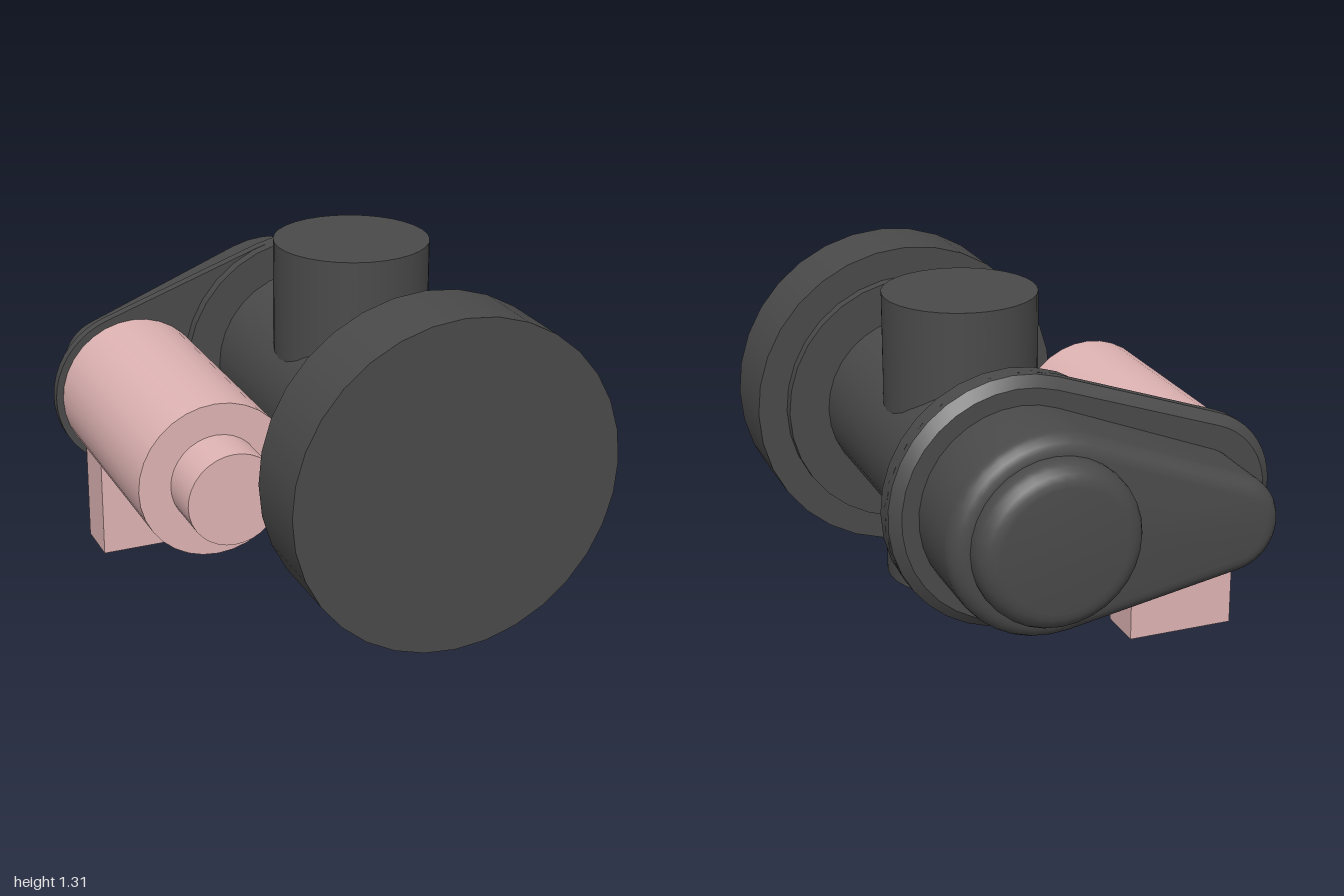
import * as THREE from 'three';
import { toCreasedNormals } from 'three/addons/utils/BufferGeometryUtils.js';

const dark = new THREE.MeshStandardMaterial({ color: 0x4a4a4a });
const pink = new THREE.MeshStandardMaterial({ color: 0xe0b4b4 });
const MAIN = [0.195, 0.67]; // axis of the main body (x, y)
const MOTOR = [-0.51, 0.6]; // axis of the motor (x, y)
const SEG = 32;

function addMesh(group, name, geometry, material) {
  const mesh = new THREE.Mesh(geometry, material);
  mesh.name = name;
  group.add(mesh);
  return mesh;
}

// Cylinder lying along z between z0 and z1
function zCylinder(group, name, [x, y], r, z0, z1, material) {
  const g = new THREE.CylinderGeometry(r, r, z1 - z0, SEG).rotateX(Math.PI / 2);
  addMesh(group, name, g, material).position.set(x, y, (z0 + z1) / 2);
}

// Outline around a large circle (main axis) and a small one (motor axis)
function outline(R, r, inset) {
  const dx = MOTOR[0] - MAIN[0], dy = MOTOR[1] - MAIN[1];
  const phi = Math.atan2(dy, dx);
  const a = Math.acos((R - r) / Math.hypot(dx, dy));
  const pts = [];
  const arc = ([x, y], rad, from, to) => {
    for (let i = 0; i <= 20; i++) {
      const t = from + (to - from) * i / 20;
      pts.push([x + rad * Math.cos(t), y + rad * Math.sin(t)]);
    }
  };
  arc(MAIN, R - inset, phi + a, phi - a + 2 * Math.PI);
  arc(MOTOR, r - inset, phi - a, phi + a);
  return pts;
}

// Skin the outline through [inset, z] steps running from front to back
function housing(R, r, steps) {
  const rings = steps.map(([inset, z]) => outline(R, r, inset).map(([x, y]) => [x, y, z]));
  const n = rings[0].length, pos = [];
  const tri = (...c) => c.forEach(p => pos.push(...p));
  const first = rings[0], last = rings[rings.length - 1];
  for (let j = 0; j < n; j++) {
    const k = (j + 1) % n;
    for (let i = 0; i < rings.length - 1; i++) {
      const a = rings[i], b = rings[i + 1];
      tri(a[j], b[j], a[k]);
      tri(a[k], b[j], b[k]);
    }
    tri([...MAIN, first[0][2]], first[j], first[k]);
    tri([...MAIN, last[0][2]], last[k], last[j]);
  }
  const g = new THREE.BufferGeometry();
  g.setAttribute('position', new THREE.Float32BufferAttribute(pos, 3));
  return toCreasedNormals(g, 0.6);
}

// Quarter-round edge as [inset, distance] steps ending at depth "end"
function roundEdge(radius, end) {
  return Array.from({ length: 6 }, (_, i) => {
    const t = i / 5 * Math.PI / 2;
    return [radius * (1 - Math.cos(t)), end - radius * (1 - Math.sin(t))];
  });
}

export function createModel() {
  const group = new THREE.Group();
  group.name = 'drivenValve';

  // Main body with the big front disc
  zCylinder(group, 'frontDisc', MAIN, 0.637, 0.69, 1, dark);
  zCylinder(group, 'frontDiscStep', MAIN, 0.519, 0.645, 0.7, dark);
  zCylinder(group, 'bodyTube', MAIN, 0.355, -0.5, 0.66, dark);

  // Vertical cross pipe
  addMesh(group, 'crossPipe', new THREE.CylinderGeometry(0.297, 0.297, 1.135, SEG), dark)
    .position.set(MAIN[0], 0.7425, 0.048);

  // Gear housing: round collar, chamfered flange, rounded cover
  zCylinder(group, 'flangeCollar', MAIN, 0.49, -0.51, -0.45, dark);
  addMesh(group, 'flange', housing(0.49, 0.325, [[0, -0.495], [0, -0.535], [0.04, -0.57]]), dark);
  const coverEdge = roundEdge(0.07, 0.9).map(([inset, d]) => [inset, -d]);
  addMesh(group, 'gearCover', housing(0.386, 0.192, [[0, -0.55], ...coverEdge]), dark);

  // Rounded end cap on the back of the cover
  const cap = [[0, 0.88], [0.315, 0.88], ...roundEdge(0.08, 1).map(([i, d]) => [0.315 - i, d]), [0, 1]]
    .map(([r, d]) => new THREE.Vector2(r, d));
  const capGeometry = toCreasedNormals(new THREE.LatheGeometry(cap, SEG), 0.6).rotateX(-Math.PI / 2);
  addMesh(group, 'endCap', capGeometry, dark).position.set(MAIN[0], MAIN[1], 0);

  // Motor with its narrower nose
  zCylinder(group, 'motor', MOTOR, 0.297, -0.5, 0.45, pink);
  zCylinder(group, 'motorNose', MOTOR, 0.176, 0.44, 0.635, pink);

  // Foot block under the motor
  addMesh(group, 'foot', new THREE.BoxGeometry(0.425, 0.5, 0.195), pink)
    .position.set(-0.512, 0.25, -0.385);

  return group;
}
